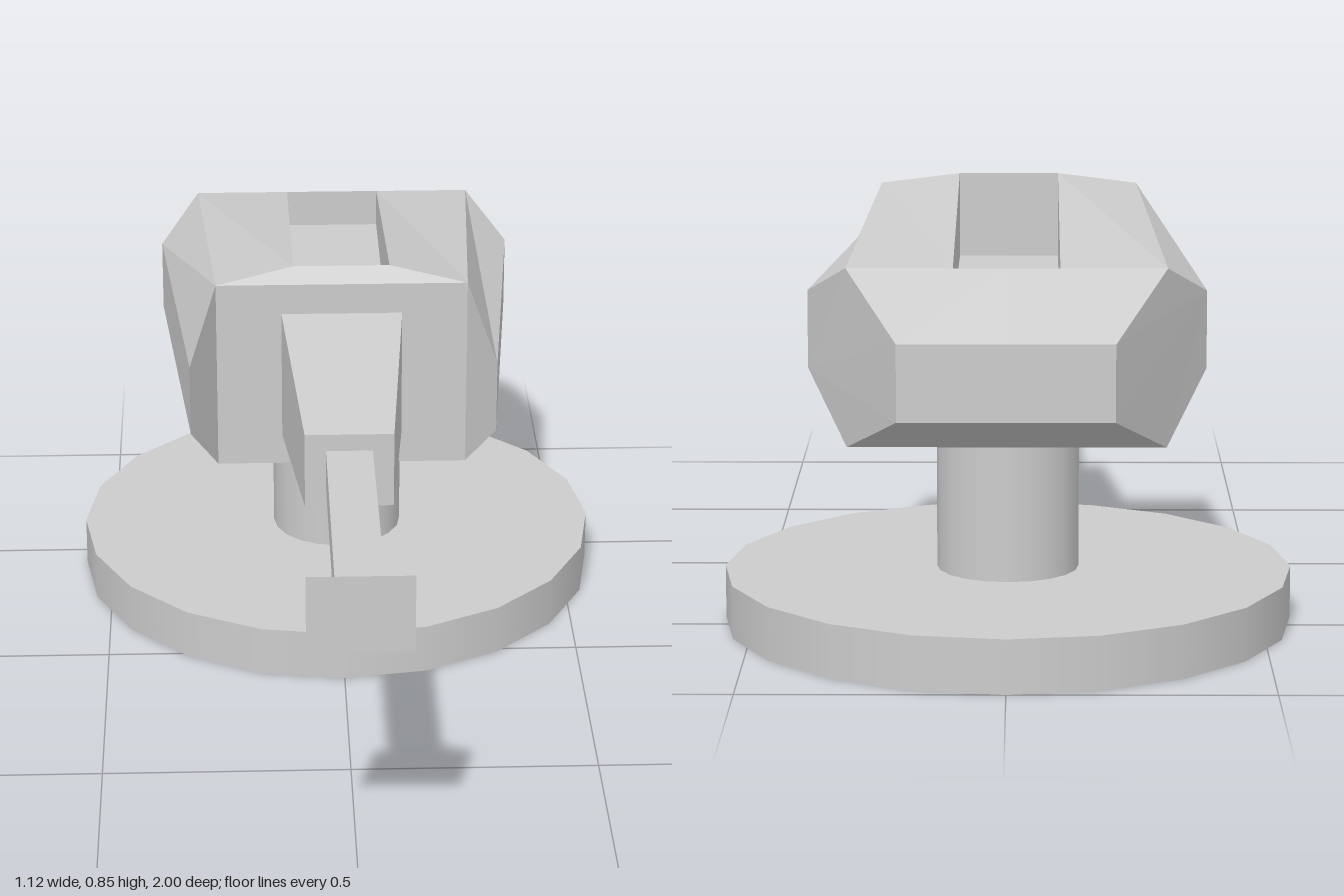
import * as THREE from 'three';

const material = new THREE.MeshStandardMaterial({ color: 0xcccccc, flatShading: true });
const smooth = new THREE.MeshStandardMaterial({ color: 0xcccccc });

// Flat-faced geometry from convex polygons, each fanned into triangles
function fromPolygons(polygons) {
  const positions = [];
  for (const p of polygons)
    for (let i = 1; i < p.length - 1; i++) positions.push(...p[0], ...p[i], ...p[i + 1]);
  const g = new THREE.BufferGeometry();
  g.setAttribute('position', new THREE.Float32BufferAttribute(positions, 3));
  g.computeVertexNormals();
  return g;
}

// Rectangular sections [z, halfWidth, yBottom, yTop], back to front, joined and capped
function loftBox(sections) {
  const rings = sections.map(([z, w, b, t]) => [[-w, b, z], [w, b, z], [w, t, z], [-w, t, z]]);
  const polygons = [[...rings[0]].reverse(), rings[rings.length - 1]];
  for (let s = 0; s < rings.length - 1; s++)
    for (let i = 0; i < 4; i++) {
      const j = (i + 1) % 4;
      polygons.push([rings[s][i], rings[s][j], rings[s + 1][j], rings[s + 1][i]]);
    }
  return fromPolygons(polygons);
}

// Faceted housing with a sunken top slot: one half, then mirrored
function housingGeometry() {
  const mid = ([, y, z]) => [0, y, z];
  const frontTop = [0.26, 0.82, -0.07], frontLow = [0.26, 0.415, -0.07];
  const cheekTop = [0.315, 0.69, 0.05], cheekLow = [0.315, 0.54, 0.05];
  const sideTop = [0.38, 0.69, -0.63], sideLow = [0.38, 0.54, -0.63];
  const rearTop = [0.3, 0.755, -0.77], rearLow = [0.3, 0.415, -0.77];
  const tailTop = [0.2, 0.645, -0.955], tailLow = [0.2, 0.5, -0.955];
  const slotFront = [0.1, 0.845, -0.11], slotRear = [0.1, 0.755, -0.77];
  const floorFront = [0.1, 0.675, -0.11], floorRear = [0.1, 0.675, -0.77];

  const half = [
    [frontLow, frontTop, mid(frontTop), mid(frontLow)],
    [frontLow, cheekLow, cheekTop, frontTop],
    [cheekLow, sideLow, sideTop, cheekTop],
    [cheekTop, sideTop, rearTop, frontTop],
    [frontLow, rearLow, sideLow, cheekLow],
    [sideLow, rearLow, tailLow, tailTop, rearTop, sideTop],
    [tailLow, mid(tailLow), mid(tailTop), tailTop],
    [tailTop, mid(tailTop), mid(rearTop), rearTop],
    [rearLow, mid(rearLow), mid(tailLow), tailLow],
    [frontLow, mid(frontLow), mid(rearLow), rearLow],
    // top lip and side panel
    [mid(frontTop), frontTop, slotFront, mid(slotFront)],
    [frontTop, rearTop, slotRear, slotFront],
    // slot walls and floor
    [floorRear, floorFront, slotFront, slotRear],
    [mid(floorFront), floorFront, floorRear, mid(floorRear)],
    [mid(floorRear), floorRear, slotRear, mid(slotRear)],
    [floorFront, mid(floorFront), mid(slotFront), slotFront],
  ];
  const mirrored = half.map(p => p.map(([x, y, z]) => [-x, y, z]).reverse());
  return fromPolygons([...half, ...mirrored]);
}

export function createModel() {
  const model = new THREE.Group();
  model.name = 'gunTurret';
  const add = (name, geometry, mat = material) => {
    const mesh = new THREE.Mesh(geometry, mat);
    mesh.name = name;
    model.add(mesh);
  };

  // Round base and pedestal
  add('base', new THREE.CylinderGeometry(0.56, 0.56, 0.105, 20).translate(0, 0.0525, -0.44), smooth);
  add('pedestal', new THREE.CylinderGeometry(0.14, 0.14, 0.31, 20).translate(0, 0.255, -0.435), smooth);

  add('housing', housingGeometry());

  // Tapered shroud, square barrel and flared muzzle
  add('barrelShroud', loftBox([[-0.07, 0.125, 0.48, 0.755], [0.395, 0.088, 0.54, 0.695]]));
  add('barrel', loftBox([[0.395, 0.046, 0.575, 0.66], [0.945, 0.046, 0.575, 0.66]]));
  add('muzzle', loftBox([[0.945, 0.046, 0.575, 0.66], [1, 0.1, 0.54, 0.695]]));

  return model;
}
